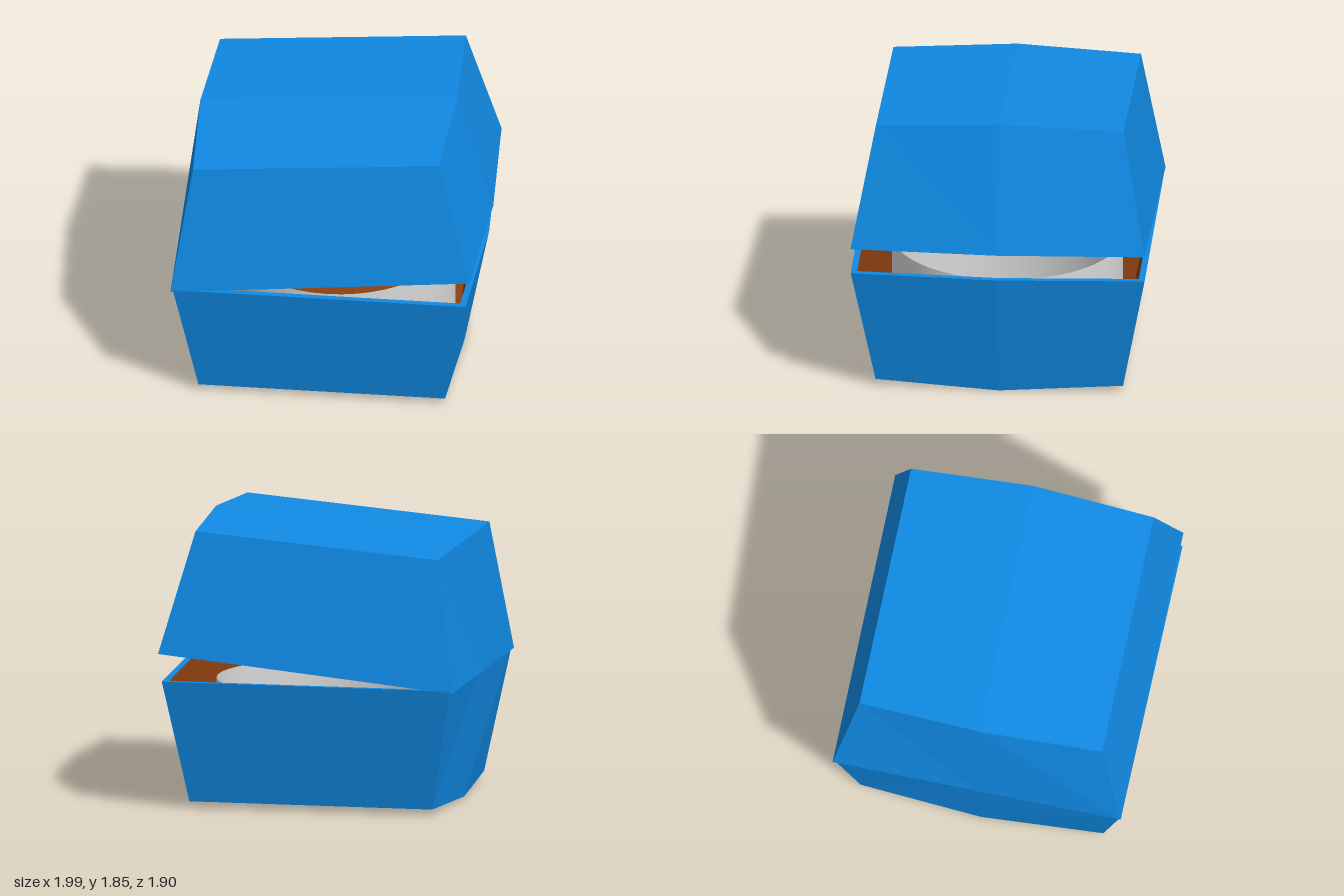
import * as THREE from 'three';

const mat = (name, color) => new THREE.MeshStandardMaterial({ name, color });

// Six-sided loop: four corners plus a middle point on the left and right sides
const loop = (l, r, lm, rm, z) => [
  [l[0], l[1], z], [r[0], r[1], z], [rm[0], rm[1], 0],
  [r[0], r[1], -z], [l[0], l[1], -z], [lm[0], lm[1], 0],
];

// Moves a loop inwards by the wall thickness
const inset = (pts, t, dy) => pts.map(([x, y, z]) =>
  [x - Math.sign(x) * t, y + dy, z - Math.sign(z) * t]);

// Flat-faced mesh from quads; flip turns all faces round
function quadMesh(name, material, quads, flip) {
  const pos = [];
  for (const [a, b, c, d] of quads) {
    const tris = flip ? [a, c, b, a, d, c] : [a, b, c, a, c, d];
    for (const p of tris) pos.push(...p);
  }
  const g = new THREE.BufferGeometry();
  g.setAttribute('position', new THREE.Float32BufferAttribute(pos, 3));
  g.computeVertexNormals();
  const mesh = new THREE.Mesh(g, material);
  mesh.name = name;
  return mesh;
}

const band = (a, b) => a.map((p, i) => {
  const j = (i + 1) % a.length;
  return [p, a[j], b[j], b[i]];
});

// Two slightly folded panels closing a loop
const cap = (p) => [[p[0], p[5], p[2], p[1]], [p[5], p[4], p[3], p[2]]];

// Half of the box: outer skin, rim and inner lining
function shell(name, end, rim, isLid, outer, inner) {
  const t = 0.04;
  const endIn = inset(end, t, isLid ? -t : t);
  const rimIn = inset(rim, t, 0);
  const group = new THREE.Group();
  group.name = name;
  group.add(
    quadMesh(name + 'Outside', outer, [...band(end, rim), ...cap(end)], isLid),
    quadMesh(name + 'Rim', outer, band(rim, rimIn), isLid),
    quadMesh(name + 'Lining', inner, [...band(endIn, rimIn), ...cap(endIn)], !isLid),
  );
  return group;
}

export function createModel() {
  const blue = mat('blue', 0x108ae4);
  const brown = mat('brown', 0x8b4010);
  const white = mat('white', 0xd8d8d8);
  white.side = THREE.DoubleSide;

  const model = new THREE.Group();
  model.name = 'hingedBox';

  // Base
  model.add(shell('base',
    loop([-0.83, 0.04], [0.77, 0.04], [-0.87, 0], [0.81, 0], 0.8),
    loop([-0.98, 0.84], [0.92, 0.84], [-0.98, 0.84], [0.97, 0.84], 0.95),
    false, blue, brown));

  // Lid, tilted open from the hinge side
  model.add(shell('lid',
    loop([-0.865, 1.67], [0.73, 1.805], [-0.905, 1.7], [0.765, 1.845], 0.8),
    loop([-0.995, 0.825], [0.945, 1.02], [-0.995, 0.825], [0.995, 1.024], 0.95),
    true, blue, brown));

  // Round open sleeve standing inside the base
  const sleeve = new THREE.Mesh(
    new THREE.CylinderGeometry(0.746, 0.746, 0.68, 48, 1, true), white);
  sleeve.name = 'innerSleeve';
  sleeve.position.y = 0.41;
  model.add(sleeve);

  return model;
}
